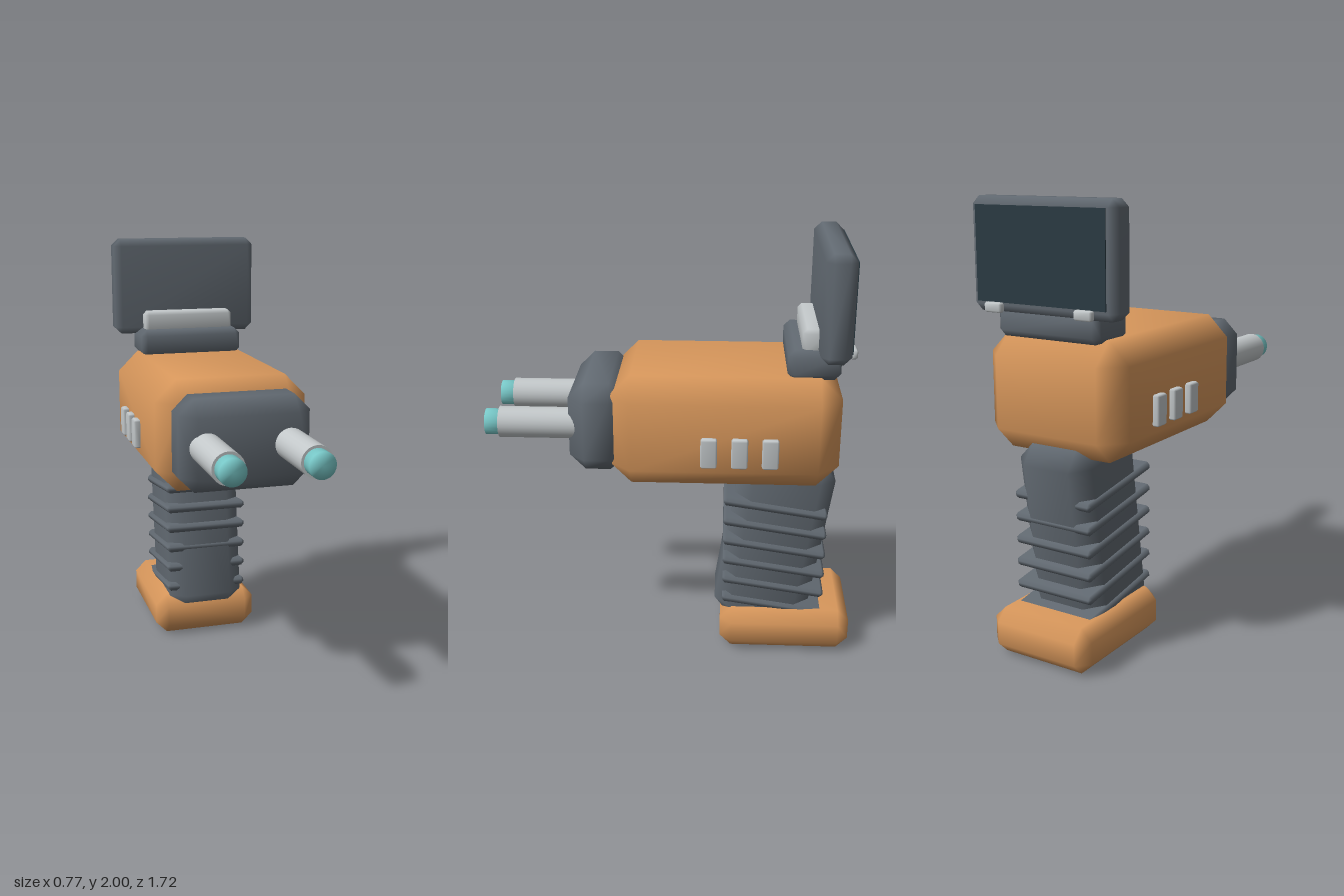
import * as THREE from 'three';
import { mergeVertices } from 'three/addons/utils/BufferGeometryUtils.js';
import { ConvexGeometry } from 'three/addons/geometries/ConvexGeometry.js';

const mat = (name, color) => {
  const m = new THREE.MeshStandardMaterial({ color });
  m.name = name;
  return m;
};

// Shares vertices so that shading runs smoothly over every edge
function smooth(geometry) {
  geometry.deleteAttribute('normal');
  geometry.deleteAttribute('uv');
  const merged = mergeVertices(geometry, 1e-4);
  merged.computeVertexNormals();
  return merged;
}

// Box with single-cut chamfered edges and soft normals
function chamferBox(w, h, d, c) {
  const points = [];
  for (const x of [-1, 1]) for (const y of [-1, 1]) for (const z of [-1, 1]) {
    for (let axis = 0; axis < 3; axis++) {
      const cut = [c, c, c];
      cut[axis] = 0;
      points.push(new THREE.Vector3(x * (w / 2 - cut[0]), y * (h / 2 - cut[1]), z * (d / 2 - cut[2])));
    }
  }
  return smooth(new ConvexGeometry(points));
}

export function createModel() {
  const group = new THREE.Group();
  const orange = mat('orange casing', 0xd9985c);
  const dark = mat('dark grey', 0x626a72);
  const light = mat('light grey metal', 0xc3c8ca);
  const teal = mat('teal tip', 0x78c8c8);
  const glass = mat('dark display', 0x2b3b43);

  function add(name, geometry, material, x, y, z, tilt = 0) {
    const mesh = new THREE.Mesh(geometry, material);
    mesh.name = name;
    mesh.position.set(x, y, z);
    mesh.rotation.x = tilt;
    group.add(mesh);
    return mesh;
  }

  // Main casing and nose
  add('body', chamferBox(0.715, 0.52, 1.046, 0.1), orange, 0, 1.17, -0.23);
  add('nose', chamferBox(0.605, 0.42, 0.26, 0.072), dark, 0, 1.17, 0.348);

  // Leaning grip with ribs
  const lean = -0.15;
  add('grip', chamferBox(0.38, 0.876, 0.458, 0.075), dark, 0, 0.542, -0.48, lean);
  const ribGeometry = chamferBox(0.405, 0.042, 0.495, 0.014);
  for (let i = 0; i < 6; i++) add('gripRib', ribGeometry, dark, 0, 0.75 - i * 0.105, -0.48, lean);

  // Foot of the grip
  add('base', chamferBox(0.52, 0.21, 0.63, 0.055), orange, 0, 0.105, -0.542);

  // Screen mount and screen
  add('screenMount', chamferBox(0.52, 0.135, 0.235, 0.028), dark, 0, 1.483, -0.622);
  add('mountRail', chamferBox(0.455, 0.11, 0.12, 0.018), light, 0, 1.585, -0.626);
  add('screenFrame', chamferBox(0.735, 0.48, 0.135, 0.034), dark, 0, 1.76, -0.7025);
  add('display', new THREE.BoxGeometry(0.65, 0.4, 0.008), glass, 0, 1.765, -0.771);

  // Mirrored parts
  const barrel = new THREE.CylinderGeometry(0.072, 0.072, 0.4, 24);
  const tip = smooth(new THREE.CylinderGeometry(0.06, 0.06, 0.09, 24));
  const button = chamferBox(0.04, 0.138, 0.074, 0.008);
  const hinge = chamferBox(0.088, 0.042, 0.034, 0.008);
  for (const side of [-1, 1]) {
    add('barrel', barrel, light, side * 0.19, 1.172, 0.6, Math.PI / 2);
    add('barrelTip', tip, teal, side * 0.19, 1.172, 0.818, Math.PI / 2);
    add('hinge', hinge, light, side * 0.228, 1.545, -0.786);
    for (const z of [-0.163, -0.3, -0.437]) add('sideButton', button, light, side * 0.367, 1.11, z);
  }

  return group;
}
